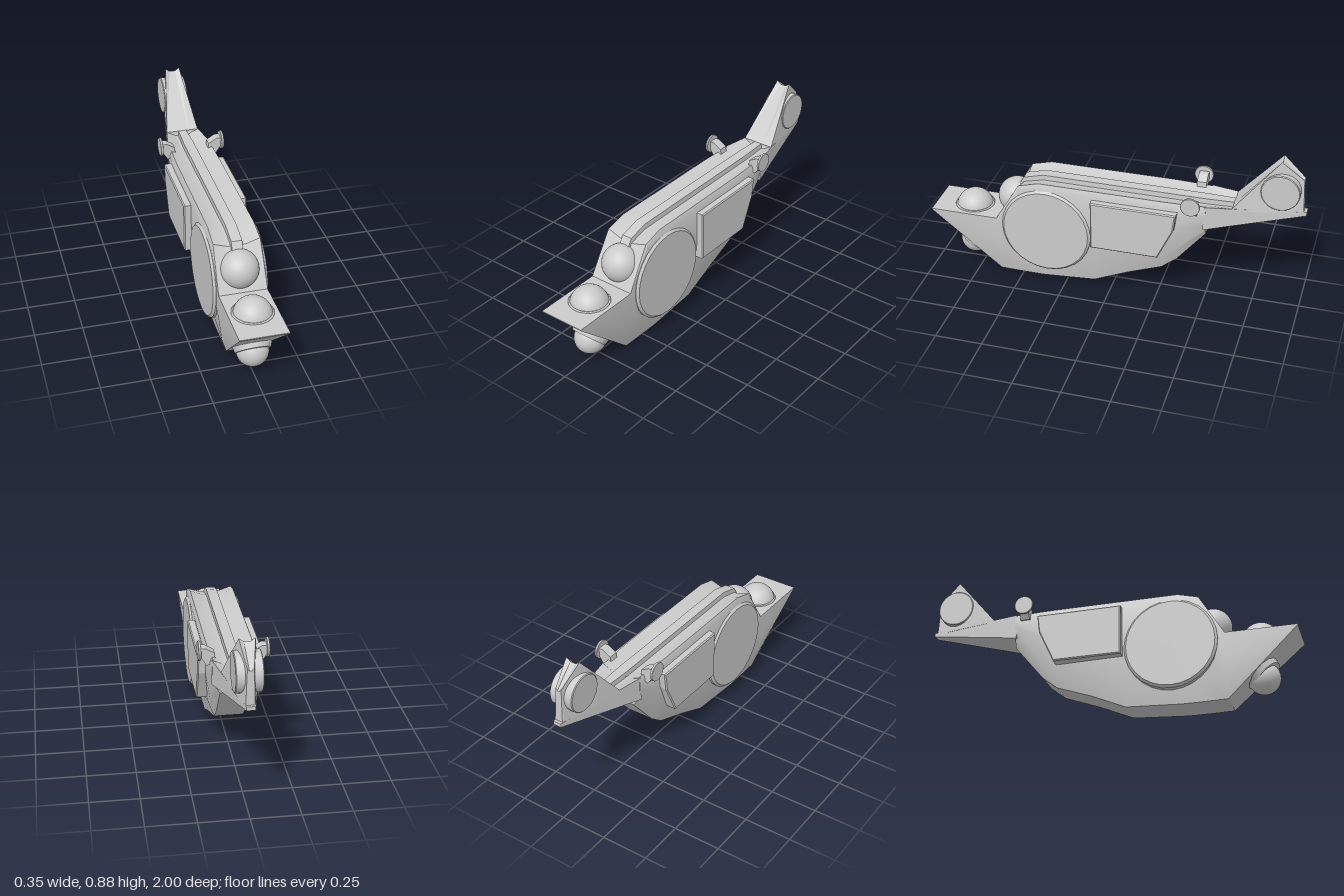
import * as THREE from 'three';
import { toCreasedNormals } from 'three/addons/utils/BufferGeometryUtils.js';

const grey = new THREE.MeshStandardMaterial({ color: 0xcccccc });

// Mirror a right-hand half outline (bottom to top) into a closed ring.
const ring = (z, half) => [
  ...half.map(([x, y]) => [x, y, z]),
  ...half.slice().reverse().map(([x, y]) => [-x, y, z]),
];

// Skin a row of equal rings running from front to back, with closed ends.
function loft(rings, crease = 0.45) {
  const n = rings[0].length, pos = [];
  const tri = (...pts) => pts.forEach((p) => pos.push(...p));
  for (let i = 0; i < rings.length - 1; i++) {
    for (let j = 0; j < n; j++) {
      const k = (j + 1) % n, A = rings[i], B = rings[i + 1];
      tri(A[j], B[j], A[k]);
      tri(A[k], B[j], B[k]);
    }
  }
  for (const [r, flip] of [[rings[0], false], [rings[rings.length - 1], true]]) {
    const mid = [0, (r[0][1] + r[n / 2 - 1][1]) / 2, r[0][2]];
    for (let j = 0; j < n; j++) {
      const k = (j + 1) % n;
      flip ? tri(mid, r[k], r[j]) : tri(mid, r[j], r[k]);
    }
  }
  const g = new THREE.BufferGeometry();
  g.setAttribute('position', new THREE.Float32BufferAttribute(pos, 3));
  return toCreasedNormals(g, crease);
}

// Bevelled disc lying across x, spanning -h to h.
function disc(r, h, bevel, sides) {
  const pts = [[0, -h], [r - bevel, -h], [r, bevel - h], [r, h - bevel], [r - bevel, h], [0, h]];
  const g = new THREE.LatheGeometry(pts.map(([a, b]) => new THREE.Vector2(a, b)), sides);
  g.rotateZ(-Math.PI / 2);
  return toCreasedNormals(g, 0.5);
}

export function createModel() {
  const model = new THREE.Group();
  const add = (name, geometry, x = 0, y = 0, z = 0) => {
    const m = new THREE.Mesh(geometry, grey);
    m.name = name;
    m.position.set(x, y, z);
    model.add(m);
    return m;
  };

  // Hull: z, top, bottom, half width, bottom half width, chamfer, groove depth
  const hull = [
    [1.0, 0.35, 0.345, 0.125, 0.125, 0, 0],
    [0.63, 0.35, 0.005, 0.125, 0.085, 0, 0],
    [0.625, 0.36, 0.004, 0.125, 0.085, 0, 0],
    [0.5, 0.57, 0.002, 0.128, 0.085, 0.02, 0.025],
    [0.39, 0.6, 0.002, 0.13, 0.085, 0.03, 0.028],
    [0.1, 0.6, 0.02, 0.13, 0.08, 0.03, 0.028],
    [-0.08, 0.6, 0.1, 0.13, 0.08, 0.03, 0.028],
    [-0.27, 0.6, 0.17, 0.13, 0.075, 0.03, 0.028],
    [-0.35, 0.6, 0.235, 0.128, 0.075, 0.03, 0.028],
    [-0.5, 0.6, 0.42, 0.115, 0.075, 0.02, 0.028],
  ];
  add('hull', loft(hull.map(([z, t, b, w, wb, c, g]) => {
    const h = t - b;
    return ring(z, [
      [wb, b], [wb + (w - wb) * 0.55, b + h * 0.2], [w, b + h * 0.6],
      [w, t - c], [w - c * 0.4, t], [0.045, t - g], [0.03, t - g], [0.028, t],
    ]);
  })));

  // Tapering tail boom, carrying the grooves up to the fin
  add('tailBoom', loft([
    [-0.49, 0.465, 0.115, 0.028], [-0.63, 0.498, 0.09, 0.028],
    [-0.64, 0.5, 0.088, 0], [-1, 0.58, 0.022, 0],
  ].map(([z, b, w, g]) => {
    const s = w / 0.115;
    return ring(z, [[w, b], [w, 0.6], [0.045 * s, 0.6 - g], [0.03 * s, 0.6 - g], [0.028 * s, 0.6]]);
  }), 0.3));

  // Tail fin with a notched crest
  add('tailFin', loft([
    [-0.63, 0.6, 0.09, 0.088, 0], [-0.86, 0.88, 0.05, 0.039, 0.017],
    [-0.975, 0.78, 0.026, 0.016, 0.012], [-0.985, 0.6, 0.024, 0.02, 0],
  ].map(([z, t, w, wt, notch]) => ring(z, [[w, 0.59], [wt, t], [wt * 0.4, t - notch]])), 0.2));
  add('tailDisc', disc(0.1, 0.066, 0.004, 24), 0, 0.715, -0.865);

  // Large round side covers
  add('sideCover', disc(0.245, 0.141, 0.012, 28), 0, 0.322, 0.35);

  // Shapes are drawn with z across and y up, then turned to face sideways
  const panel = new THREE.Shape([[-0.09, 0.29], [0.262, 0.29], [0.34, 0.46], [0.352, 0.55], [-0.09, 0.55]]
    .map(([a, b]) => new THREE.Vector2(a, b)));
  const strut = new THREE.Shape([[0.09, 0.57], [0.135, 0.555], [0.168, 0.605], [0.168, 0.647], [0.14, 0.647], [0.095, 0.62]]
    .map(([a, b]) => new THREE.Vector2(a, b)));
  for (const side of [1, -1]) {
    const label = side > 0 ? 'left' : 'right';

    // Raised side panel, centred across x before being moved outward
    const g = new THREE.ExtrudeGeometry(panel, {
      depth: 0.05, bevelEnabled: true, bevelSize: 0.006, bevelThickness: 0.006, bevelSegments: 1,
    });
    g.translate(0, 0, -0.025);
    g.rotateY(Math.PI / 2);
    add(label + 'SidePanel', g, side * 0.137);

    // Small round pod on a strut
    const s = new THREE.ExtrudeGeometry(strut, { depth: 0.05, bevelEnabled: false });
    s.translate(0, 0, -0.025);
    if (side < 0) s.rotateY(Math.PI);
    add(label + 'PodStrut', s, 0, 0, -0.435);
    add(label + 'PodDisc', disc(0.05, 0.006, 0.001, 20), side * 0.17, 0.625, -0.432);
  }

  // Domes at the front, each in a thin socket
  const dome = (name, r, y, z) => add(name, new THREE.SphereGeometry(r, 32, 20), 0, y, z);
  dome('upperDome', 0.1, 0.44, 0.55);
  dome('noseDome', 0.1, 0.33, 0.795);
  dome('bellyDome', 0.083, 0.127, 0.802);
  const noseSocket = add('noseSocket', new THREE.TorusGeometry(0.1, 0.006, 6, 32), 0, 0.35, 0.795);
  noseSocket.rotation.x = Math.PI / 2;
  const bellySocket = add('bellySocket',
    toCreasedNormals(new THREE.CylinderGeometry(0.1, 0.09, 0.03, 14), 0.6), 0, 0.145, 0.805);
  bellySocket.rotation.x = -Math.PI / 4;

  return model;
}
